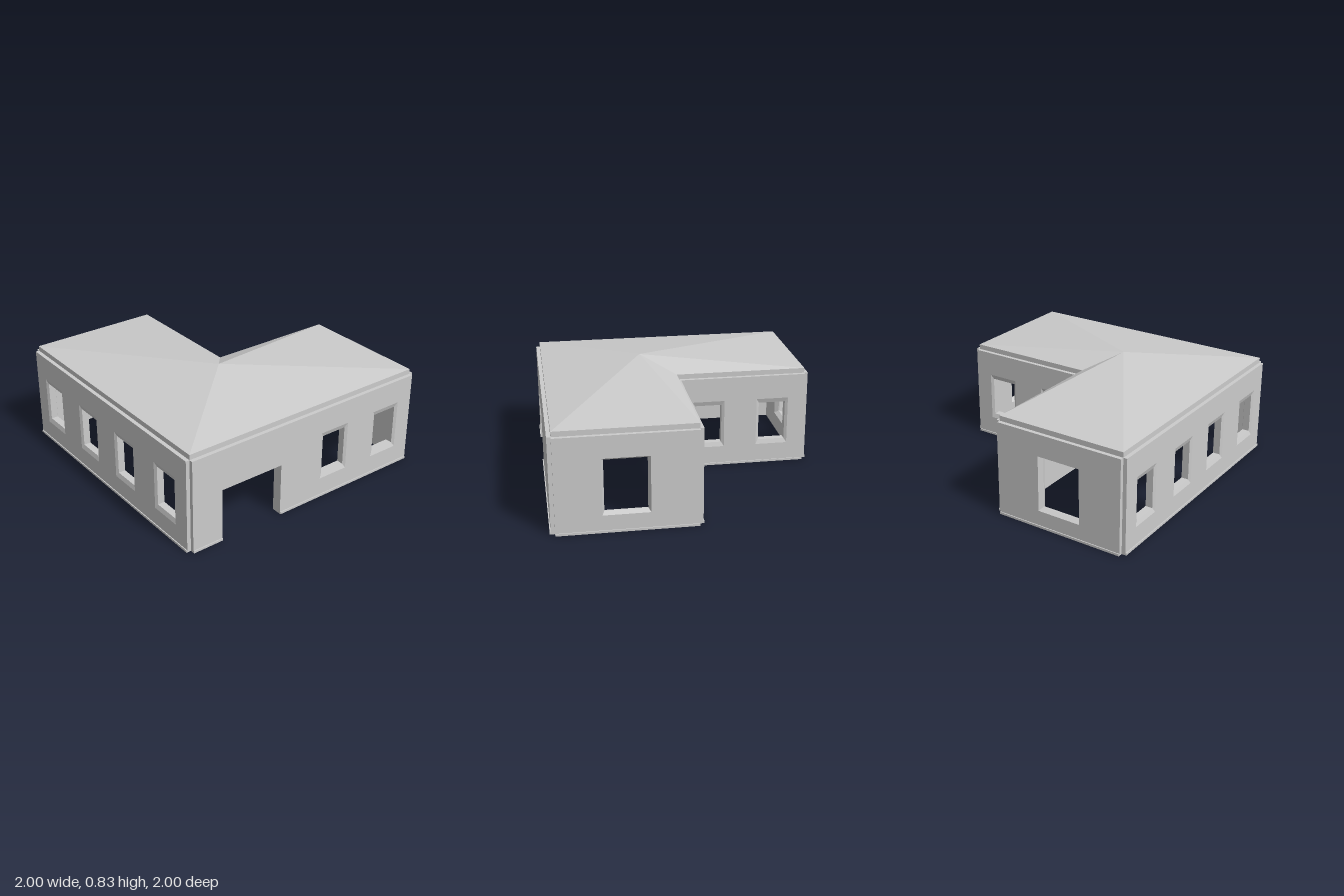
import * as THREE from 'three';

const EDGE = 0.965;      // half width of the structural walls
const CORE = 0.045;      // structural wall thickness
const PANEL = 0.028;     // outer facing thickness
const EAVES = 0.727, PANEL_TOP = 0.69;

const grey = new THREE.MeshStandardMaterial({ color: 0xcccccc, flatShading: true, side: THREE.DoubleSide });

function add(parent, name, geometry) {
  const mesh = new THREE.Mesh(geometry, grey);
  mesh.name = name;
  parent.add(mesh);
  return mesh;
}

// Clear opening plus the width and depth of its bevelled surround
const smallWindow = (u) => ({ u, half: 0.1, y0: 0.18, y1: 0.477, du: 0.02, dy: 0.033, depth: 0.011 });
const largeWindow = (u) => ({ u, half: 0.146, y0: 0.145, y1: 0.51, du: 0.016, dy: 0.02, depth: 0.032 });

function corners(w, grow) {
  const h = w.half + w.du * grow, b = w.y0 - w.dy * grow, t = w.y1 + w.dy * grow;
  return [[w.u - h, b], [w.u + h, b], [w.u + h, t], [w.u - h, t]];
}

// Slab standing on the ground, pierced by windows and notched by a door
function slab(u0, u1, top, thickness, windows, door) {
  const pts = [[u0, 0]];
  if (door) pts.push([door.u0, 0], [door.u0, door.top], [door.u1, door.top], [door.u1, 0]);
  pts.push([u1, 0], [u1, top], [u0, top]);
  const toVectors = (list) => list.map(([x, y]) => new THREE.Vector2(x, y));
  const shape = new THREE.Shape(toVectors(pts));
  for (const w of windows) shape.holes.push(new THREE.Path(toVectors(corners(w, 1).reverse())));
  return new THREE.ExtrudeGeometry(shape, { depth: thickness, bevelEnabled: false });
}

// Window reveal: flared to the inside and outside, straight between
function reveal(w, back, front) {
  const rings = [[back, 1], [back + w.depth, 0], [front - w.depth, 0], [front, 1]]
    .map(([z, grow]) => corners(w, grow).map(([x, y]) => [x, y, z]));
  const pos = [];
  for (let r = 0; r < 3; r++) {
    for (let i = 0; i < 4; i++) {
      const j = (i + 1) % 4;
      const a = rings[r][i], b = rings[r][j], c = rings[r + 1][j], d = rings[r + 1][i];
      pos.push(...a, ...d, ...c, ...a, ...c, ...b);
    }
  }
  const g = new THREE.BufferGeometry();
  g.setAttribute('position', new THREE.Float32BufferAttribute(pos, 3));
  g.computeVertexNormals();
  return g;
}

// A whole wall: local x runs along it, local z points outward
function wall({ name, angle, d, u0, u1, windows, door, ext0 = 0, ext1 = 0 }) {
  const group = new THREE.Group();
  group.name = name;
  add(group, 'wallCore', slab(u0 - ext0, u1 + ext1, EAVES, CORE, windows, door)).position.z = d - CORE;
  add(group, 'wallFacing', slab(u0, u1, PANEL_TOP, PANEL, windows, door)).position.z = d;
  for (const w of windows) add(group, 'windowReveal', reveal(w, d - CORE, d + PANEL));

  // Thin plinth along the foot, broken at the door
  const runs = door ? [[u0, door.u0], [door.u1, u1]] : [[u0, u1]];
  for (const [a, b] of runs) {
    const plinth = add(group, 'plinth', new THREE.BoxGeometry(b - a, 0.016, 0.007));
    plinth.position.set((a + b) / 2, 0.008, d + PANEL + 0.0035);
  }
  group.rotation.y = angle;
  return group;
}

// Low roof: a fan of planes from the L-shaped eaves to one peak
function roofGeometry() {
  const outline = [[-EDGE, -EDGE], [-EDGE, EDGE], [EDGE, EDGE], [EDGE, 0], [0, 0], [0, -EDGE]];
  const peak = [-0.2, 0.835, 0.25];
  const pos = [];
  outline.forEach(([x, z], i) => {
    const [x2, z2] = outline[(i + 1) % outline.length];
    pos.push(x, EAVES, z, x2, EAVES, z2, ...peak);
  });
  const g = new THREE.BufferGeometry();
  g.setAttribute('position', new THREE.Float32BufferAttribute(pos, 3));
  g.computeVertexNormals();
  return g;
}

export function createModel() {
  const model = new THREE.Group();
  model.name = 'house';
  const q = Math.PI / 2;
  const near = 0.235, far = 0.72, mid = 0.49;

  const walls = [
    { name: 'frontWall', angle: 0, d: EDGE, u0: -EDGE, u1: EDGE,
      windows: [near, far].map(smallWindow), door: { u0: -0.73, u1: -0.24, top: 0.39 } },
    { name: 'rightSideWall', angle: -q, d: EDGE, u0: -EDGE, u1: EDGE,
      windows: [-far, -near, near, far].map(smallWindow) },
    { name: 'leftEndWall', angle: q, d: EDGE, u0: -EDGE, u1: 0, windows: [largeWindow(-mid)] },
    { name: 'backEndWall', angle: 2 * q, d: EDGE, u0: 0, u1: EDGE, windows: [largeWindow(mid)] },
    // The two walls of the inner corner
    { name: 'courtSideWall', angle: q, d: 0, u0: 0, u1: EDGE, ext0: CORE,
      windows: [near, far].map(smallWindow) },
    { name: 'courtBackWall', angle: 2 * q, d: 0, u0: -EDGE, u1: 0, ext1: CORE,
      windows: [-near, -far].map(smallWindow) },
  ];
  for (const w of walls) model.add(wall(w));

  add(model, 'roof', roofGeometry());
  return model;
}
